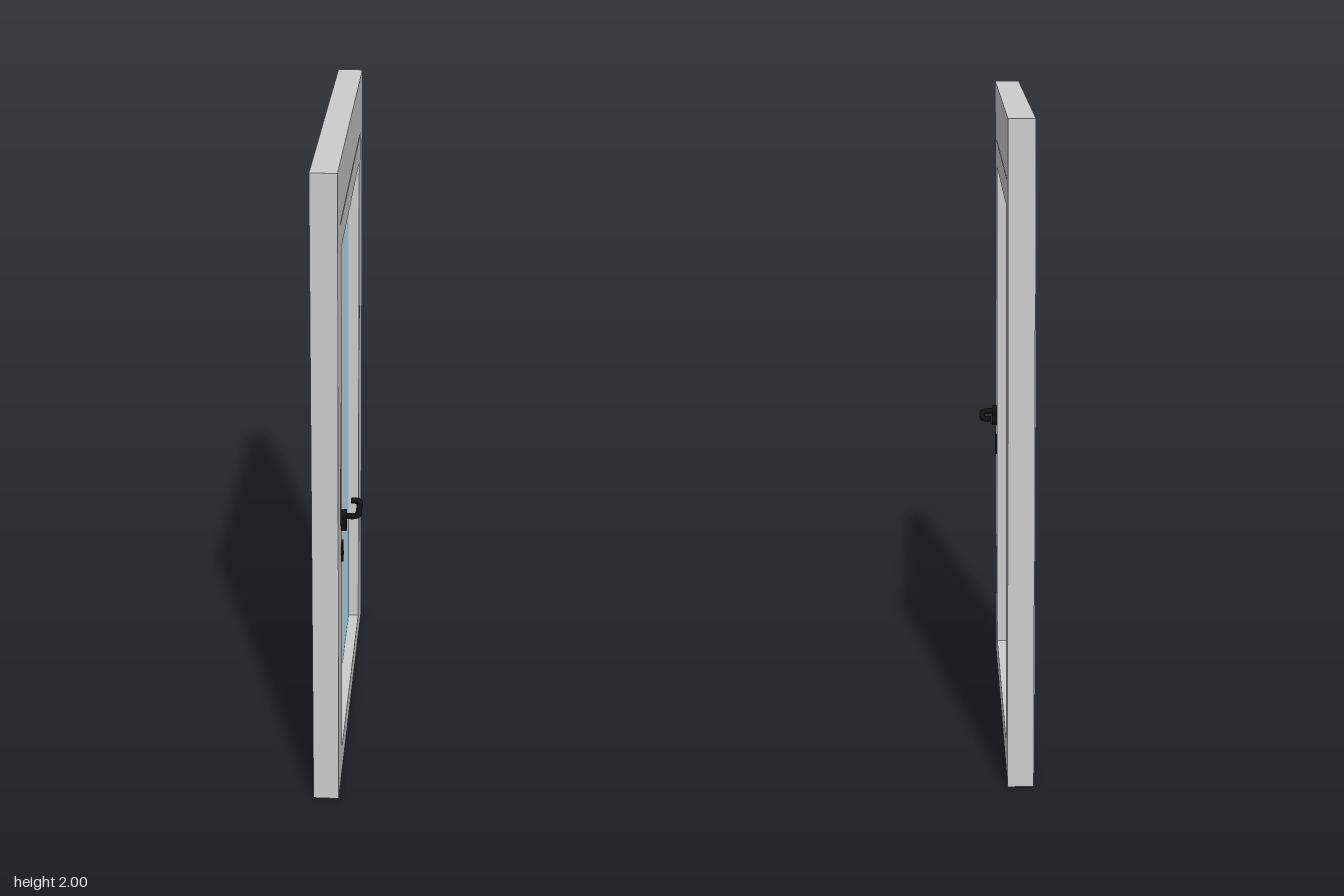
import * as THREE from 'three';

const FRONT = 0.012, BACK = -0.066, FLANGE = -0.073;

// Rectangle outline in the door plane, usable as a shape or a hole
function rect(path, halfWidth, bottom, top) {
  path.moveTo(-halfWidth, bottom);
  path.lineTo(halfWidth, bottom);
  path.lineTo(halfWidth, top);
  path.lineTo(-halfWidth, top);
  path.closePath();
  return path;
}

// Extrude a (−z, y) shape along x, from x0 to x1
function slab(name, shape, x0, x1, material) {
  const geo = new THREE.ExtrudeGeometry(shape, { depth: x1 - x0, bevelEnabled: false, curveSegments: 16 });
  geo.rotateY(Math.PI / 2).translate(x0, 0, 0);
  const mesh = new THREE.Mesh(geo, material);
  mesh.name = name;
  return mesh;
}

// Upright plate with rounded ends
function stadium(z, y, width, height) {
  const r = width / 2, h = height / 2 - r, s = new THREE.Shape();
  s.absarc(-z, y + h, r, 0, Math.PI, false);
  s.absarc(-z, y - h, r, Math.PI, Math.PI * 2, false);
  s.closePath();
  return s;
}

export function createModel() {
  const group = new THREE.Group();
  group.name = 'glazedDoor';
  const grey = new THREE.MeshStandardMaterial({ color: 0xcccccc });
  const glass = new THREE.MeshStandardMaterial({ color: 0xc2eafc });
  const black = new THREE.MeshStandardMaterial({ color: 0x111111 });

  // Door frame: two jambs and a head, open at the floor
  const frame = new THREE.Shape([
    [-0.6, 0], [-0.487, 0], [-0.487, 1.822], [0.487, 1.822],
    [0.487, 0], [0.6, 0], [0.6, 2], [-0.6, 2],
  ].map(([u, y]) => new THREE.Vector2(u, y)));
  group.add(slab('doorFrame', frame, BACK, FRONT, grey));

  // Door leaf with its overlapping rear flange
  const leaf = new THREE.Group();
  leaf.name = 'doorLeaf';
  const ring = (halfWidth, top) => {
    const s = rect(new THREE.Shape(), halfWidth, 0.001, top);
    s.holes.push(rect(new THREE.Path(), 0.432, 0.085, 1.738));
    return s;
  };
  leaf.add(slab('leafFrame', ring(0.48, 1.815), BACK, FRONT, grey));
  leaf.add(slab('leafFlange', ring(0.508, 1.842), FLANGE, BACK, grey));
  leaf.add(slab('glassPane', rect(new THREE.Shape(), 0.434, 0.083, 1.74), -0.034, -0.022, glass));
  group.add(leaf);

  // Handle plate and lock plate
  const handle = new THREE.Group();
  handle.name = 'handle';
  const hz = 0.458, hy = 0.902, r = 0.0095;
  handle.add(slab('handlePlate', stadium(hz, 0.888, 0.031, 0.07), FRONT, 0.028, black));
  handle.add(slab('lockPlate', stadium(hz, 0.786, 0.031, 0.07), FRONT, 0.018, black));

  // Lever: out from the plate, along the door, and back towards it
  const v = (x, z) => new THREE.Vector3(x, hy, z);
  const path = new THREE.CurvePath();
  const xo = 0.0625, ze = 0.349, c = 0.02;
  path.add(new THREE.LineCurve3(v(0.02, hz), v(xo - c, hz)));
  path.add(new THREE.QuadraticBezierCurve3(v(xo - c, hz), v(xo, hz), v(xo, hz - c)));
  path.add(new THREE.LineCurve3(v(xo, hz - c), v(xo, ze + c)));
  path.add(new THREE.QuadraticBezierCurve3(v(xo, ze + c), v(xo, ze), v(xo - c, ze)));
  path.add(new THREE.LineCurve3(v(xo - c, ze), v(0.035, ze)));
  const lever = new THREE.Mesh(new THREE.TubeGeometry(path, 48, r, 16), black);
  lever.name = 'lever';
  handle.add(lever);

  // Flat end of the lever, facing the door
  const cap = new THREE.Mesh(new THREE.CircleGeometry(r, 16), black);
  cap.name = 'leverEnd';
  cap.rotation.y = -Math.PI / 2;
  cap.position.copy(v(0.035, ze));
  handle.add(cap);
  group.add(handle);

  return group;
}
